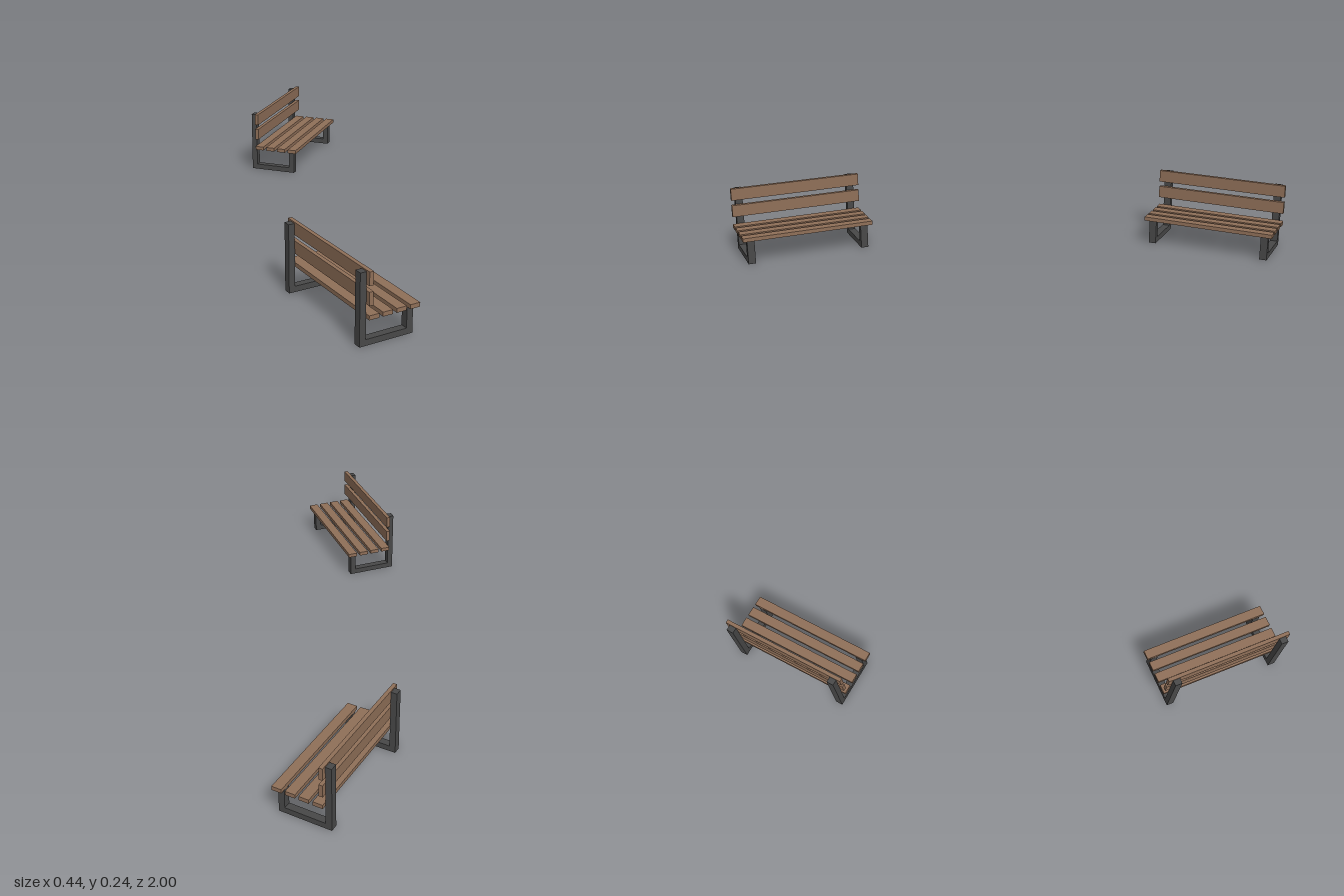
import * as THREE from 'three';

const LENGTH = 0.472;   // board length
const BAR = 0.026;      // frame bar width along the bench
const BAR_T = 0.021;    // frame bar thickness
const DEPTH = 0.183;    // frame depth, back to front
const SEAT_Y = 0.088;   // underside of the seat

const wood = new THREE.MeshStandardMaterial({ color: 0x8f6f58, flatShading: true });
const metal = new THREE.MeshStandardMaterial({ color: 0x484848, flatShading: true });

// Board running the length of the bench
function board(name, height, depth, y, z) {
  const mesh = new THREE.Mesh(new THREE.BoxGeometry(LENGTH, height, depth), wood);
  mesh.name = name;
  mesh.position.set(0, y, z);
  return mesh;
}

// Side frame: tall back post, ground rail and short front leg in one profile
function frameGeometry() {
  const profile = [
    [0, 0], [DEPTH, 0], [DEPTH, SEAT_Y], [DEPTH - BAR_T, SEAT_Y],
    [DEPTH - BAR_T, 0.02], [BAR_T, 0.02], [BAR_T, 0.233], [0, 0.233],
  ];
  const shape = new THREE.Shape(profile.map(([z, y]) => new THREE.Vector2(z, y)));
  const geo = new THREE.ExtrudeGeometry(shape, { depth: BAR, bevelEnabled: false });
  return geo.rotateY(-Math.PI / 2).translate(BAR / 2, 0, 0);
}

// Bench with its origin at the middle of the back edge, facing +z
function createBench(name) {
  const bench = new THREE.Group();
  bench.name = name;

  const geo = frameGeometry();
  for (const side of [1, -1]) {
    const frame = new THREE.Mesh(geo, metal);
    frame.name = side > 0 ? 'leftFrame' : 'rightFrame';
    frame.position.x = side * 0.207;
    bench.add(frame);
  }

  // Four seat slats
  for (let i = 0; i < 4; i++) {
    bench.add(board('seatSlat', 0.014, 0.034, SEAT_Y + 0.007, 0.0385 + i * 0.047));
  }

  // Two backrest boards in front of the posts
  for (const y of [0.154, 0.216]) {
    bench.add(board('backrestBoard', 0.043, 0.0135, y, BAR_T + 0.0067));
  }
  return bench;
}

export function createModel() {
  const model = new THREE.Group();
  model.name = 'parkBenches';

  const frontBench = createBench('frontBench');
  frontBench.position.set(-0.147, 0, 0.786);
  frontBench.rotation.y = THREE.MathUtils.degToRad(110);

  const rearBench = createBench('rearBench');
  rearBench.position.set(-0.067, 0, -0.806);
  rearBench.rotation.y = THREE.MathUtils.degToRad(60);

  model.add(frontBench, rearBench);
  return model;
}
